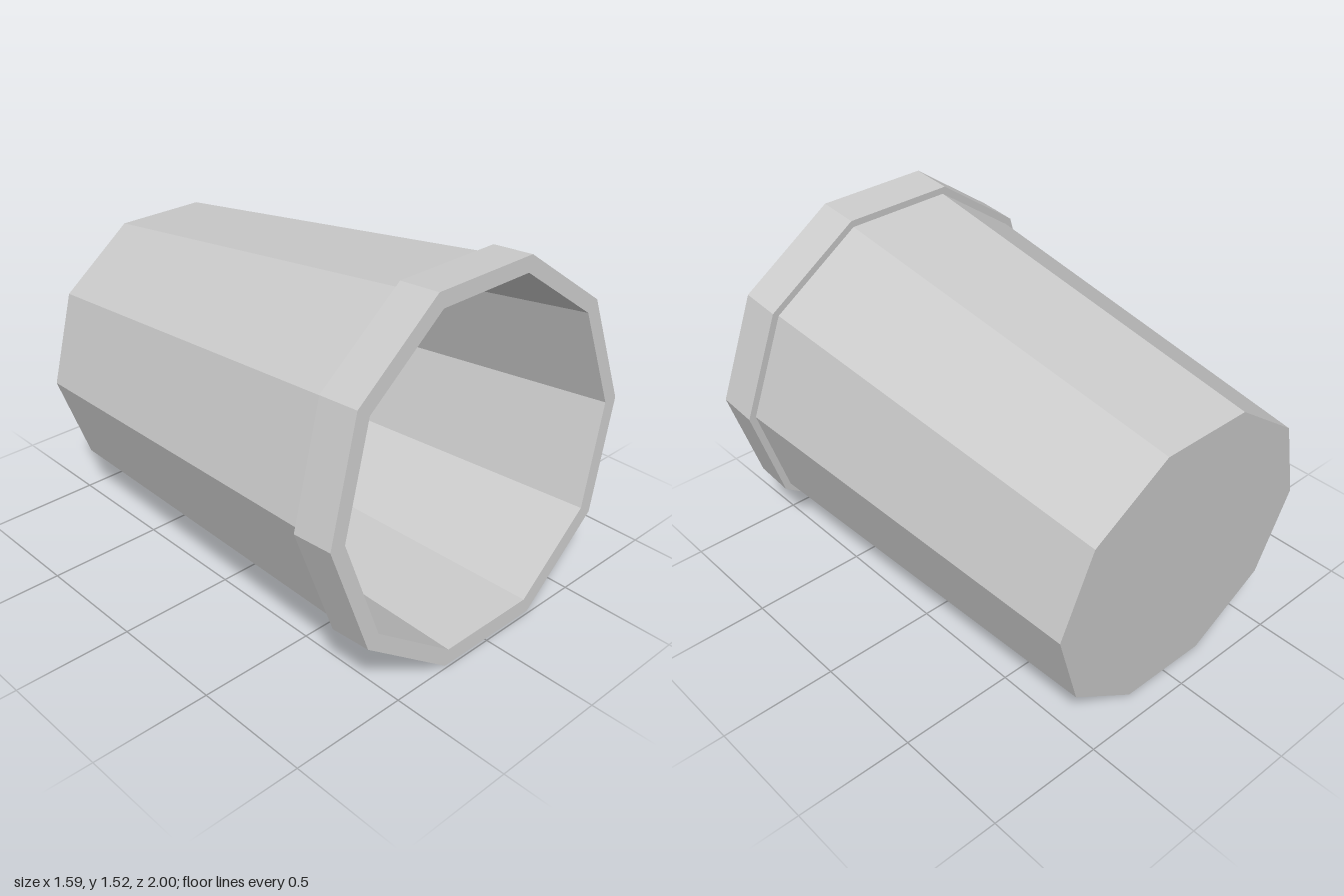
import * as THREE from 'three';

const SIDES = 10;
const TILT = 0.08;      // the tub lies on its side, mouth slightly raised
const LENGTH = 1.896;   // base to mouth
const RIM = 0.18;       // depth of the rim band

// Faceted ring of revolution with a corner on each side (+x and -x)
function facetedLathe(name, profile, material) {
  const points = profile.map(([r, y]) => new THREE.Vector2(r, y));
  const mesh = new THREE.Mesh(new THREE.LatheGeometry(points, SIDES, Math.PI / 2), material);
  mesh.name = name;
  return mesh;
}

export function createModel() {
  const material = new THREE.MeshStandardMaterial({ color: 0xcccccc, flatShading: true });
  const bucket = new THREE.Group();
  bucket.name = 'bucket';

  // Closed base and tapered outer wall
  bucket.add(facetedLathe('outerWall', [
    [0, 0], [0.646, 0], [0.761, LENGTH - RIM],
  ], material));

  // Protruding band around the mouth
  bucket.add(facetedLathe('rim', [
    [0.761, LENGTH - RIM], [0.793, LENGTH - RIM], [0.793, LENGTH], [0.726, LENGTH],
  ], material));

  // Tapered inside wall and floor
  bucket.add(facetedLathe('innerWall', [
    [0.726, LENGTH], [0.591, 0.015], [0, 0.015],
  ], material));

  // Lay the bucket down with its mouth towards the front
  bucket.rotation.x = Math.PI / 2 - TILT;
  bucket.position.set(0, 0.617, -0.95);

  const model = new THREE.Group();
  model.name = 'tiltedBucket';
  model.add(bucket);
  return model;
}
